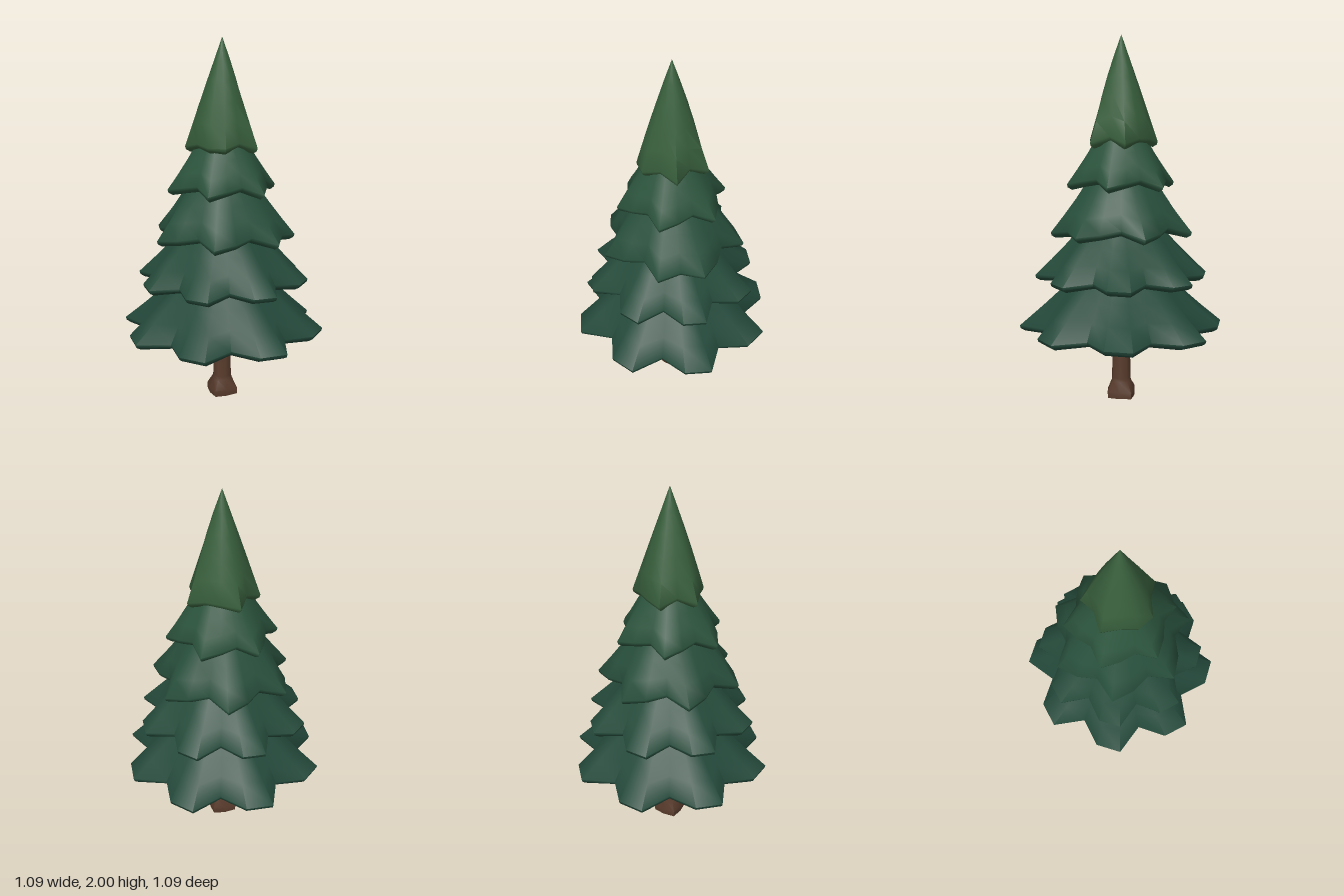
import * as THREE from 'three';
import { toCreasedNormals } from 'three/addons/utils/BufferGeometryUtils.js';

// Closed loops of equal length, listed from top to bottom, skinned into one surface
function skin(rings) {
  const n = rings[0].length, pos = rings.flat(2), index = [];
  for (let r = 0; r < rings.length - 1; r++) {
    for (let i = 0; i < n; i++) {
      const j = (i + 1) % n, u = r * n, l = u + n;
      index.push(l + i, u + i, u + j, l + i, u + j, l + j);
    }
  }
  const g = new THREE.BufferGeometry();
  g.setAttribute('position', new THREE.Float32BufferAttribute(pos, 3));
  g.setIndex(index);
  return toCreasedNormals(g, 1.05);
}

// One loop of n points; at(i) gives [radius, height]
function ring(n, at) {
  return Array.from({ length: n }, (_, i) => {
    const a = (i / n) * Math.PI * 2, [r, y] = at(i);
    return [r * Math.cos(a), y, r * Math.sin(a)];
  });
}

// One skirt of branches: a lobed rim that soon fades into a round cone, hollow below
function tierGeometry({ n, lobes, y, lift, top, bulge }) {
  const { lerp } = THREE.MathUtils;
  const max = Math.max(...lobes), min = Math.min(...lobes);
  const mean = lobes.reduce((a, b) => a + b) / lobes.length;
  const loop = (fn) => ring(n, (i) => {
    const r = lobes[i % lobes.length];
    return fn(r, y + lift * (max - r) / (max - min));
  });
  const slope = (t) => loop((r, h) => [
    lerp(mean, top[0], t) + (r - mean) * (1 - t) ** 2 + bulge * Math.sin(Math.PI * t),
    lerp(h, top[1], t)]);
  return skin([
    ...[1, 0.8, 0.6, 0.4, 0.2, 0].map(slope),
    loop((r, h) => [r - 0.005, h - 0.016]),      // rim edge
    loop((r, h) => [r - 0.028, h - 0.03]),       // lip
    loop((r, h) => [r * 0.55, h + 0.035]),       // hollow underside
    loop(() => [0.035, y + 0.11]),
  ]);
}

export function createModel() {
  const tree = new THREE.Group();
  tree.name = 'pineTree';
  const add = (name, geometry, color) => {
    const mesh = new THREE.Mesh(geometry, new THREE.MeshStandardMaterial({ color }));
    mesh.name = name;
    tree.add(mesh);
  };

  // Trunk with a flared, four-cornered foot: [corner radius, radius between, height]
  const trunk = [[0.045, 0.045, 0.6], [0.047, 0.047, 0.42], [0.055, 0.053, 0.11],
    [0.06, 0.055, 0.09], [0.095, 0.077, 0.035], [0.092, 0.074, 0], [0.001, 0.001, 0]];
  add('trunk', skin(trunk.map(([a, b, y]) => ring(8, (i) => [i % 2 ? b : a, y]))), 0x573a2b);

  // Branch tiers, bottom to top
  const tiers = [
    { n: 24, lobes: [0.54, 0.43, 0.565], y: 0.422, lift: 0.003, top: [0.08, 0.88], bulge: -0.008, color: 0x24493b },
    { n: 24, lobes: [0.457, 0.36, 0.476], y: 0.705, lift: 0.012, top: [0.08, 1.14], bulge: -0.006, color: 0x254b3b },
    { n: 20, lobes: [0.35, 0.398, 0.305], y: 0.953, lift: 0.035, top: [0.07, 1.4], bulge: 0, color: 0x284f3c },
    { n: 18, lobes: [0.262, 0.304, 0.235], y: 1.208, lift: 0.037, top: [0.05, 1.6], bulge: 0, color: 0x2b533c },
    { n: 12, lobes: [0.205, 0.155, 0.19, 0.185, 0.165, 0.2, 0.15, 0.2, 0.17, 0.165, 0.205, 0.15],
      y: 1.43, lift: 0.035, top: [0.001, 2], bulge: 0.007, color: 0x385f3c },
  ];
  tiers.forEach((t, k) => add(`branchTier${k + 1}`, tierGeometry(t), t.color));
  return tree;
}
